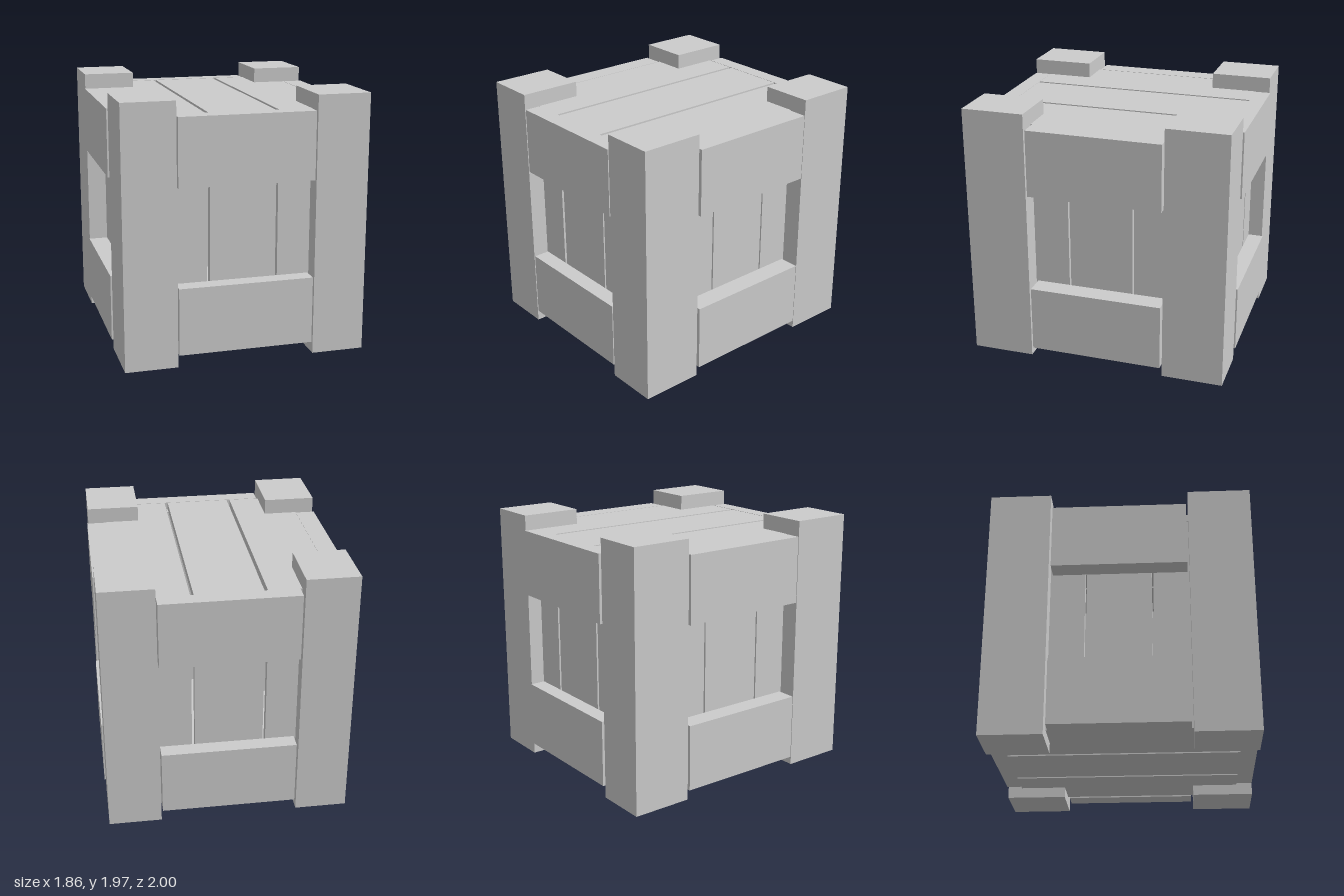
import * as THREE from 'three';

export function createModel() {
  const crate = new THREE.Group();
  crate.name = 'crate';
  const material = new THREE.MeshStandardMaterial({ color: 0xcccccc, flatShading: true });

  // Box given by its extents on each axis
  function board(name, [x0, x1], [y0, y1], [z0, z1]) {
    const mesh = new THREE.Mesh(new THREE.BoxGeometry(x1 - x0, y1 - y0, z1 - z0), material);
    mesh.position.set((x0 + x1) / 2, (y0 + y1) / 2, (z0 + z1) / 2);
    mesh.name = name;
    crate.add(mesh);
  }

  // Corner posts
  const height = [0, 1.965];
  board('frontRightPost', [-0.92, -0.525], height, [0.525, 1]);
  board('frontLeftPost', [0.515, 0.915], height, [0.525, 1]);
  board('backRightPost', [-0.925, -0.53], height, [-0.99, -0.525]);
  board('backLeftPost', [0.515, 0.915], height, [-0.99, -0.525]);

  // Lower and upper rails between the posts
  for (const [level, endY, sideY] of [
    ['lower', [0.09, 0.6], [0.07, 0.58]],
    ['upper', [1.34, 1.85], [1.34, 1.85]],
  ]) {
    board(level + 'FrontRail', [-0.515, 0.505], endY, [0.875, 1]);
    board(level + 'BackRail', [-0.515, 0.505], endY, [-1, -0.88]);
    board(level + 'LeftRail', [0.77, 0.925], sideY, [-0.51, 0.51]);
    board(level + 'RightRail', [-0.93, -0.78], sideY, [-0.51, 0.51]);
  }

  // Lid and floor planks, running front to back
  for (const x of [[-0.78, -0.285], [-0.26, 0.24], [0.265, 0.77]]) {
    board('lidPlank', x, [1.79, 1.848], [-0.88, 0.875]);
    board('floorPlank', x, [0.08, 0.14], [-0.88, 0.875]);
  }

  // Upright planks of the four walls, set behind the rails
  const wallY = [0.14, 1.79];
  for (const x of [[-0.775, -0.275], [-0.25, 0.25], [0.265, 0.765]])
    board('frontWallPlank', x, wallY, [0.815, 0.872]);
  for (const x of [[-0.775, -0.295], [-0.275, 0.24], [0.262, 0.765]])
    board('backWallPlank', x, wallY, [-0.877, -0.82]);
  for (const z of [[-0.82, -0.262], [-0.25, 0.24], [0.252, 0.815]]) {
    board('leftWallPlank', [0.71, 0.768], wallY, z);
    board('rightWallPlank', [-0.778, -0.72], wallY, z);
  }

  return crate;
}
